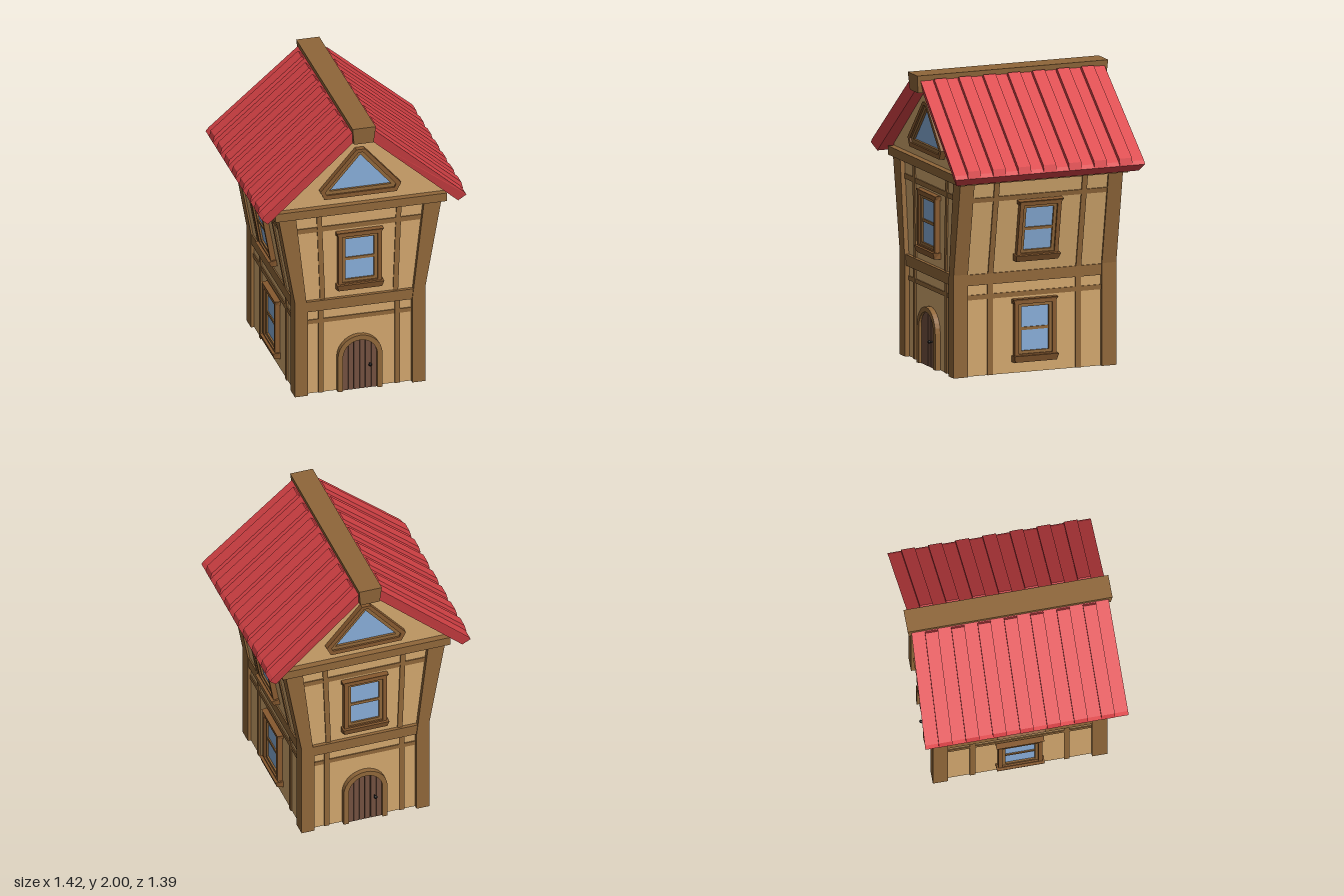
import * as THREE from 'three';

const mat = (color, extra = {}) => new THREE.MeshStandardMaterial({ color, flatShading: true, ...extra });
const WALL = mat(0xd0a56c), TIMBER = mat(0x8f6639), TRIM = mat(0x86592f), ROOF = mat(0xd94347);
const GLASS = mat(0x86abd6), DOOR = mat(0x72503f), GAP = mat(0x3d2a22), IRON = mat(0x1c1c1c);

function add(parent, name, geometry, material, x = 0, y = 0, z = 0) {
  const m = new THREE.Mesh(geometry, material);
  m.name = name;
  m.position.set(x, y, z);
  parent.add(m);
  return m;
}

// box given by its ranges
function box(parent, name, material, x0, x1, y0, y1, z0, z1) {
  return add(parent, name, new THREE.BoxGeometry(x1 - x0, y1 - y0, z1 - z0), material,
    (x0 + x1) / 2, (y0 + y1) / 2, (z0 + z1) / 2);
}

const shapeOf = pts => new THREE.Shape(pts.map(p => new THREE.Vector2(...p)));

// xy outline extruded from z0 to z1, with an optional hole and x mirror
function prism(pts, z0, z1, { hole, side = 1 } = {}) {
  const flip = list => list.map(([x, y]) => [x * side, y]);
  const s = shapeOf(flip(pts));
  if (hole) s.holes.push(shapeOf(flip(hole)));
  return new THREE.ExtrudeGeometry(s, { depth: z1 - z0, bevelEnabled: false }).translate(0, 0, z0);
}

const rect = (w, y0, y1) => [[-w, y0], [w, y0], [w, y1], [-w, y1]];

// sash window facing +z, centred on the wall surface
function windowUnit() {
  const g = new THREE.Group();
  g.name = 'window';
  box(g, 'glass', GLASS, -0.11, 0.11, -0.15, 0.17, 0, 0.012);
  add(g, 'outerFrame', prism(rect(0.15, -0.2, 0.205), 0, 0.036, { hole: rect(0.122, -0.16, 0.18) }), TRIM);
  add(g, 'innerFrame', prism(rect(0.124, -0.165, 0.182), 0, 0.024, { hole: rect(0.1, -0.14, 0.16) }), TIMBER);
  box(g, 'glazingBar', TIMBER, -0.101, 0.101, 0, 0.02, 0, 0.02);
  // header and sill have sloping undersides and mitred ends
  const header = box(g, 'header', TRIM, -0.162, 0.162, 0.185, 0.215, 0, 0.042);
  const sill = box(g, 'sill', TRIM, -0.162, 0.162, -0.215, -0.17, 0, 0.056);
  for (const m of [header, sill]) {
    const p = m.geometry.attributes.position;
    for (let i = 0; i < p.count; i++) {
      if (p.getY(i) < 0 && p.getZ(i) > 0) p.setXYZ(i, p.getX(i) * 0.93, p.getY(i), p.getZ(i) - 0.015);
    }
  }
  return g;
}

function placeWindow(parent, y, z = 0) {
  const w = windowUnit();
  w.position.set(0, y, z);
  parent.add(w);
}

// arched outline standing on y = 0
function arch(r, spring) {
  const pts = [[-r, 0], [r, 0]];
  for (let i = 0; i <= 14; i++) {
    const a = Math.PI * i / 14;
    pts.push([r * Math.cos(a), spring + r * Math.sin(a)]);
  }
  return pts;
}

function doorUnit() {
  const g = new THREE.Group();
  g.name = 'door';
  const frame = arch(0.155, 0.25);
  const inner = arch(0.12, 0.25).slice(2).reverse();
  add(g, 'doorFrame', prism([[0.12, 0], ...frame.slice(1), [-0.155, 0], [-0.12, 0], ...inner], 0, 0.037), TIMBER);
  add(g, 'doorBacking', prism(arch(0.122, 0.25), 0, 0.01), GAP);
  const top = x => 0.25 + Math.sqrt(Math.max(0, 0.0144 - x * x));
  for (let i = 0; i < 6; i++) {
    const a = -0.12 + i * 0.04 + 0.002, b = a + 0.036;
    const pts = [[a, 0], [b, 0]];
    for (let k = 0; k <= 4; k++) pts.push([b - k * 0.009, top(b - k * 0.009)]);
    add(g, 'doorPlank', prism(pts, 0, 0.02), DOOR);
  }
  const stem = add(g, 'knobStem', new THREE.CylinderGeometry(0.005, 0.005, 0.03, 8), IRON, 0.068, 0.18, 0.03);
  stem.rotation.x = Math.PI / 2;
  add(g, 'doorKnob', new THREE.SphereGeometry(0.012, 10, 8), IRON, 0.068, 0.18, 0.043);
  return g;
}

// door end of the house, facing +z
function endFace() {
  const g = new THREE.Group();
  g.name = 'endFace';
  const d = doorUnit();
  d.position.z = 0.56;
  g.add(d);
  placeWindow(g, 0.97, 0.56);
  box(g, 'lowerRail', TIMBER, -0.38, 0.38, 0.52, 0.55, 0.55, 0.567);
  box(g, 'upperRail', TIMBER, -0.45, 0.45, 1.2, 1.235, 0.55, 0.567);
  for (const side of [1, -1]) {
    box(g, 'lowerStud', TIMBER, side * 0.265 - 0.018, side * 0.265 + 0.018, 0, 0.64, 0.55, 0.569);
    add(g, 'upperStud', prism([[0.235, 0.68], [0.27, 0.68], [0.295, 1.35], [0.26, 1.35]], 0.55, 0.569, { side }), TIMBER);
  }
  // triangular attic window
  const outer = [[-0.25, 1.455], [0.25, 1.455], [0.28, 1.515], [0.03, 1.8], [-0.03, 1.8], [-0.28, 1.515]];
  const mid = [[-0.235, 1.485], [0.235, 1.485], [0.245, 1.51], [0.015, 1.778], [-0.015, 1.778], [-0.245, 1.51]];
  const pane = [[-0.215, 1.51], [0.215, 1.51], [0, 1.757]];
  add(g, 'atticFrame', prism(outer, 0.565, 0.61, { hole: mid }), TRIM);
  add(g, 'atticInnerFrame', prism(mid, 0.565, 0.597, { hole: pane }), TIMBER);
  add(g, 'atticGlass', prism(pane, 0.565, 0.58), GLASS);
  return g;
}

// long side of one storey, facing +z, from its own y = 0
function sideFace(height, railY, windowY) {
  const g = new THREE.Group();
  g.name = 'sideFace';
  box(g, 'rail', TIMBER, -0.5, 0.5, railY, railY + 0.033, -0.01, 0.007);
  for (const side of [1, -1]) {
    box(g, 'stud', TIMBER, side * 0.32 - 0.019, side * 0.32 + 0.019, 0, height, -0.01, 0.009);
  }
  placeWindow(g, windowY);
  return g;
}

// the roof flares toward the eaves and narrows on its underside
function flareRoof(geometry) {
  const p = geometry.attributes.position;
  for (let i = 0; i < p.count; i++) {
    const run = Math.abs(p.getX(i)) - 0.08;
    const below = 1.96 - 0.87 * run - p.getY(i);
    p.setZ(i, p.getZ(i) * (0.97 + 0.03 * run / 0.63) * (below > 0.04 ? 0.965 : 1));
  }
  geometry.computeVertexNormals();
  return geometry;
}

export function createModel() {
  const house = new THREE.Group();
  house.name = 'house';

  // walls: straight ground floor, upper floor leaning outward, gable
  box(house, 'lowerWalls', WALL, -0.43, 0.43, 0, 0.66, -0.56, 0.56);
  add(house, 'upperWalls', prism([[-0.43, 0.65], [0.43, 0.65], [0.553, 1.345], [-0.553, 1.345]], -0.56, 0.56), WALL);
  add(house, 'gable', prism([[-0.595, 1.39], [0.595, 1.39], [0.6, 1.41], [0.06, 1.89], [-0.06, 1.89], [-0.6, 1.41]], -0.57, 0.57), WALL);

  // main timbers
  box(house, 'floorBeam', TIMBER, -0.447, 0.447, 0.62, 0.695, -0.585, 0.585);
  box(house, 'eavesBeam', TIMBER, -0.595, 0.595, 1.335, 1.395, -0.615, 0.615);
  const post = [[0.362, 0], [0.452, 0], [0.452, 0.7], [0.565, 1.34], [0.445, 1.34], [0.372, 0.7], [0.362, 0.62]];
  for (const side of [1, -1]) {
    for (const z of [-0.592, 0.488]) add(house, 'cornerPost', prism(post, z, z + 0.104, { side }), TIMBER);
  }

  // both ends alike
  for (const turn of [0, Math.PI]) {
    const e = endFace();
    e.rotation.y = turn;
    house.add(e);
  }

  // long sides, the upper ones tilted with the wall
  for (const side of [1, -1]) {
    const lower = sideFace(0.64, 0.52, 0.29);
    lower.position.x = side * 0.43;
    lower.rotation.y = side * Math.PI / 2;
    const upper = sideFace(0.7, 0.56, 0.34);
    upper.position.set(side * 0.43, 0.65, 0);
    upper.rotation.order = 'YXZ';
    upper.rotation.set(Math.atan2(0.123, 0.695), side * Math.PI / 2, 0);
    house.add(lower, upper);
  }

  // roof slopes with raised boards
  const slab = [[0.06, 1.977], [0.69, 1.43], [0.71, 1.405], [0.66, 1.355], [0.06, 1.877]];
  const board = [[0.08, 1.955], [0.1, 1.975], [0.7, 1.455], [0.712, 1.408], [0.68, 1.41]];
  for (const side of [1, -1]) {
    add(house, 'roofSlope', flareRoof(prism(slab, -0.69, 0.69, { side })), ROOF);
    for (let i = 1; i < 15; i += 2) {
      const z = -0.69 + 0.092 * i;
      add(house, 'roofBoard', flareRoof(prism(board, z, z + 0.092, { side })), ROOF);
    }
  }

  // ridge beam, slightly narrower below
  const ridge = box(house, 'ridgeBeam', TIMBER, -0.08, 0.08, 1.88, 2, -0.695, 0.695);
  const p = ridge.geometry.attributes.position;
  for (let i = 0; i < p.count; i++) {
    if (p.getY(i) < 0) p.setXYZ(i, p.getX(i) * 0.85, p.getY(i), p.getZ(i) * 0.985);
  }
  ridge.geometry.computeVertexNormals();
  return house;
}
